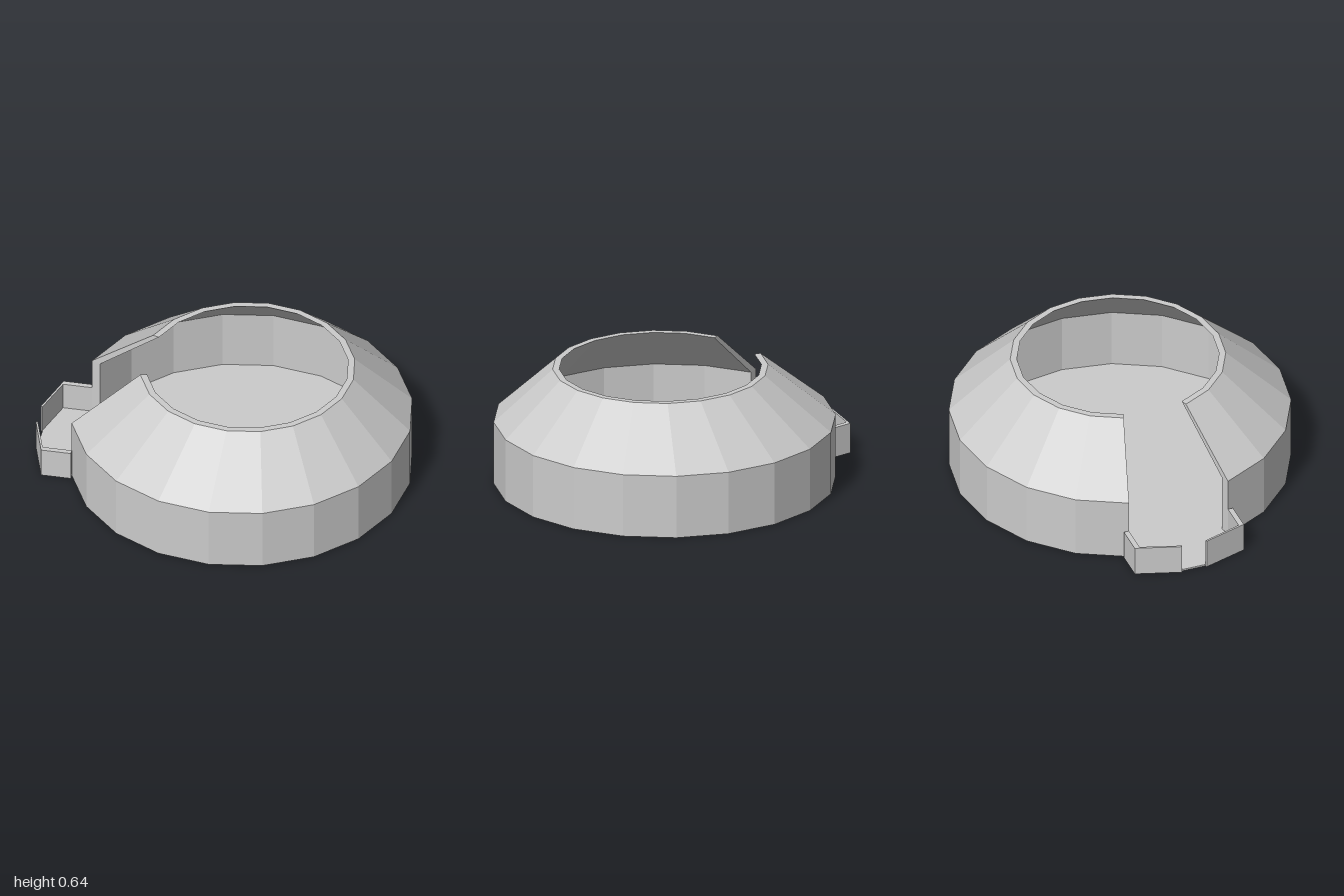
import * as THREE from 'three';

const SIDES = 20;
const STEP = (Math.PI * 2) / SIDES;
const BASE_X = 0.095, TOP_X = 0.125; // centres of the lower and upper rings

// Wall section as [centre x, radius, y]: up the outside, then down the inside
const SECTION = [
  [BASE_X, 0.905, 0], [BASE_X, 0.905, 0.345], [TOP_X, 0.57, 0.64],
  [TOP_X, 0.535, 0.64], [BASE_X, 0.857, 0.34], [BASE_X, 0.857, 0],
];

// Sweep the section around the ring, leaving two sides open for the doorway
function ringGeometry() {
  const pos = [], n = SECTION.length;
  const point = (i, j) => {
    const [cx, r, y] = SECTION[i % n];
    const a = (j - SIDES / 2) * STEP;
    return [cx + r * Math.cos(a), y, r * Math.sin(a)];
  };
  const tri = (a, b, c) => pos.push(...a, ...b, ...c);
  const first = 1, last = SIDES - 1;
  for (let j = first; j < last; j++) {
    for (let i = 0; i < n; i++) {
      const a = point(i, j), b = point(i + 1, j), c = point(i + 1, j + 1), d = point(i, j + 1);
      tri(a, b, c);
      tri(a, c, d);
    }
  }
  // Close both cut ends beside the doorway
  for (let k = 2; k < 6; k++) {
    tri(point(1, last), point(k, last), point(k + 1, last));
    tri(point(1, first), point(k + 1, first), point(k, first));
  }
  const geo = new THREE.BufferGeometry();
  geo.setAttribute('position', new THREE.Float32BufferAttribute(pos, 3));
  geo.computeVertexNormals();
  return geo;
}

// Raise a ground plan of [x, z] points to a given height
function raisePlan(plan, height) {
  const shape = new THREE.Shape(plan.map(([x, z]) => new THREE.Vector2(x, -z)));
  return new THREE.ExtrudeGeometry(shape, { depth: height, bevelEnabled: false }).rotateX(-Math.PI / 2);
}

export function createModel() {
  const group = new THREE.Group();
  const material = new THREE.MeshStandardMaterial({ color: 0xcccccc, flatShading: true });
  const add = (name, geometry) => {
    const mesh = new THREE.Mesh(geometry, material);
    mesh.name = name;
    group.add(mesh);
  };

  add('shelterWall', ringGeometry());

  // Floor disc that runs out through the doorway into the porch
  const floor = [];
  for (let j = 1; j < SIDES; j++) {
    const a = (j - SIDES / 2) * STEP;
    floor.push([BASE_X + 0.9 * Math.cos(a), 0.9 * Math.sin(a)]);
  }
  floor.push([-0.765, 0.295], [-0.923, 0.295], [-0.99, 0.08]);
  floor.push([-0.99, -0.08], [-0.923, -0.295], [-0.765, -0.295]);
  add('floor', raisePlan(floor, 0.01));

  // Low porch walls that bend in towards a narrow entrance
  for (const [side, name] of [[1, 'porchWallFront'], [-1, 'porchWallBack']]) {
    const plan = [
      [-0.765, 0.28], [-0.765, 0.308], [-0.925, 0.308],
      [-1, 0.07], [-0.99, 0.067], [-0.922, 0.28],
    ].map(([x, z]) => [x, z * side]);
    add(name, raisePlan(plan, 0.165));
  }
  return group;
}
